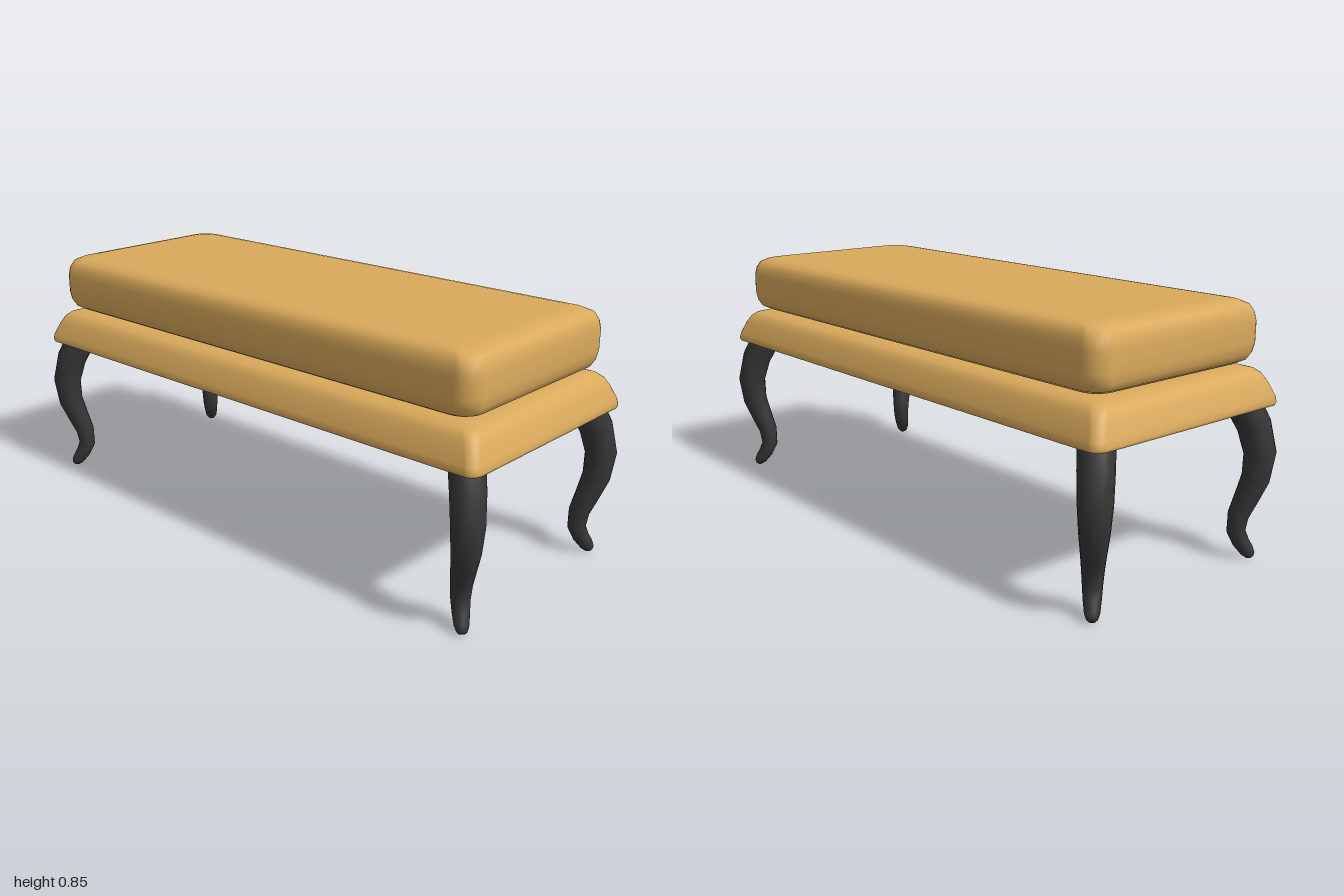
import * as THREE from 'three';

const fabric = new THREE.MeshStandardMaterial({ color: 0xdaaa5c });
fabric.name = 'ochre fabric';
const wood = new THREE.MeshStandardMaterial({ color: 0x363636 });
wood.name = 'dark wood';

// Skin a stack of closed rings (bottom to top) and close both ends.
function loft(rings) {
  const n = rings[0].length, pos = [], idx = [];
  rings.forEach((ring) => ring.forEach((p) => pos.push(p.x, p.y, p.z)));
  for (let k = 0; k < rings.length - 1; k++) {
    for (let i = 0; i < n; i++) {
      const j = (i + 1) % n;
      const a = k * n + i, b = k * n + j, c = a + n, d = b + n;
      idx.push(a, c, b, b, c, d);
    }
  }
  [0, rings.length - 1].forEach((k) => {
    const centre = new THREE.Vector3();
    rings[k].forEach((p) => centre.addScaledVector(p, 1 / n));
    const m = pos.length / 3;
    pos.push(centre.x, centre.y, centre.z);
    for (let i = 0; i < n; i++) {
      const a = k * n + i, b = k * n + (i + 1) % n;
      if (k === 0) idx.push(m, a, b);
      else idx.push(m, b, a);
    }
  });
  const geo = new THREE.BufferGeometry();
  geo.setAttribute('position', new THREE.Float32BufferAttribute(pos, 3));
  geo.setIndex(idx);
  geo.computeVertexNormals();
  return geo;
}

// Rounded rectangle ring with half sizes hx, hz at height y.
function roundedRing(hx, hz, r, y, steps = 5) {
  const ring = [];
  [[1, 1], [-1, 1], [-1, -1], [1, -1]].forEach(([sx, sz], q) => {
    for (let i = 0; i <= steps; i++) {
      const a = (q + i / steps) * Math.PI / 2;
      ring.push(new THREE.Vector3(
        sx * (hx - r) + r * Math.cos(a), y, sz * (hz - r) + r * Math.sin(a)));
    }
  });
  return ring;
}

// Padded block from a profile of [half width, height]; extra is added along z.
function pad(name, profile, extra, r) {
  const mesh = new THREE.Mesh(
    loft(profile.map(([hx, y]) => roundedRing(hx, hx + extra, r, y))), fabric);
  mesh.name = name;
  return mesh;
}

// Curved leg: [sideways position, height, radius] from toe to top,
// bending in a vertical plane that is later turned to the corner.
const LEG_X = 0.36, LEG_Z = 0.936;
function legGeometry() {
  const path = [
    [0.367, 0.009, 0.010], [0.364, 0.014, 0.017], [0.356, 0.028, 0.023],
    [0.341, 0.058, 0.027], [0.329, 0.095, 0.030], [0.332, 0.150, 0.034],
    [0.348, 0.210, 0.039], [0.365, 0.275, 0.045], [0.371, 0.360, 0.051],
    [0.354, 0.450, 0.054], [0.328, 0.517, 0.055], [0.318, 0.545, 0.055],
  ].map(([x, y, r]) => ({ d: (x - LEG_X) * Math.SQRT2, y, r }));
  const sides = 16;
  const rings = path.map((p, k) => {
    const a = path[Math.max(k - 1, 0)], b = path[Math.min(k + 1, path.length - 1)];
    const t = new THREE.Vector2(b.d - a.d, b.y - a.y).normalize();
    return Array.from({ length: sides }, (_, i) => {
      const ang = i / sides * Math.PI * 2;
      const u = p.r * Math.cos(ang), v = p.r * Math.sin(ang);
      return new THREE.Vector3(p.d + t.y * u, Math.max(0, p.y - t.x * u), v);
    });
  });
  return loft(rings);
}

export function createModel() {
  const model = new THREE.Group();
  model.name = 'bench';

  // Loose seat cushion
  model.add(pad('cushion', [
    [0.270, 0.645], [0.300, 0.646], [0.328, 0.651], [0.350, 0.663],
    [0.361, 0.685], [0.366, 0.715], [0.366, 0.780], [0.361, 0.810],
    [0.350, 0.832], [0.328, 0.844], [0.300, 0.849], [0.270, 0.850],
  ], 0.569, 0.06));

  // Sloped upholstered base
  model.add(pad('base', [
    [0.380, 0.516], [0.398, 0.516], [0.406, 0.519], [0.409, 0.528],
    [0.405, 0.548], [0.386, 0.594], [0.372, 0.618], [0.357, 0.631],
    [0.330, 0.639], [0.300, 0.641],
  ], 0.577, 0.035));

  // Four legs, each turned out along its corner diagonal
  const legs = new THREE.Group();
  legs.name = 'legs';
  const geo = legGeometry();
  for (const [sx, sz, name] of [
    [1, 1, 'frontLeftLeg'], [-1, 1, 'frontRightLeg'],
    [1, -1, 'backLeftLeg'], [-1, -1, 'backRightLeg'],
  ]) {
    const leg = new THREE.Mesh(geo, wood);
    leg.name = name;
    leg.position.set(sx * LEG_X, 0, sz * LEG_Z);
    leg.rotation.y = Math.atan2(-sz, sx);
    legs.add(leg);
  }
  model.add(legs);
  return model;
}
